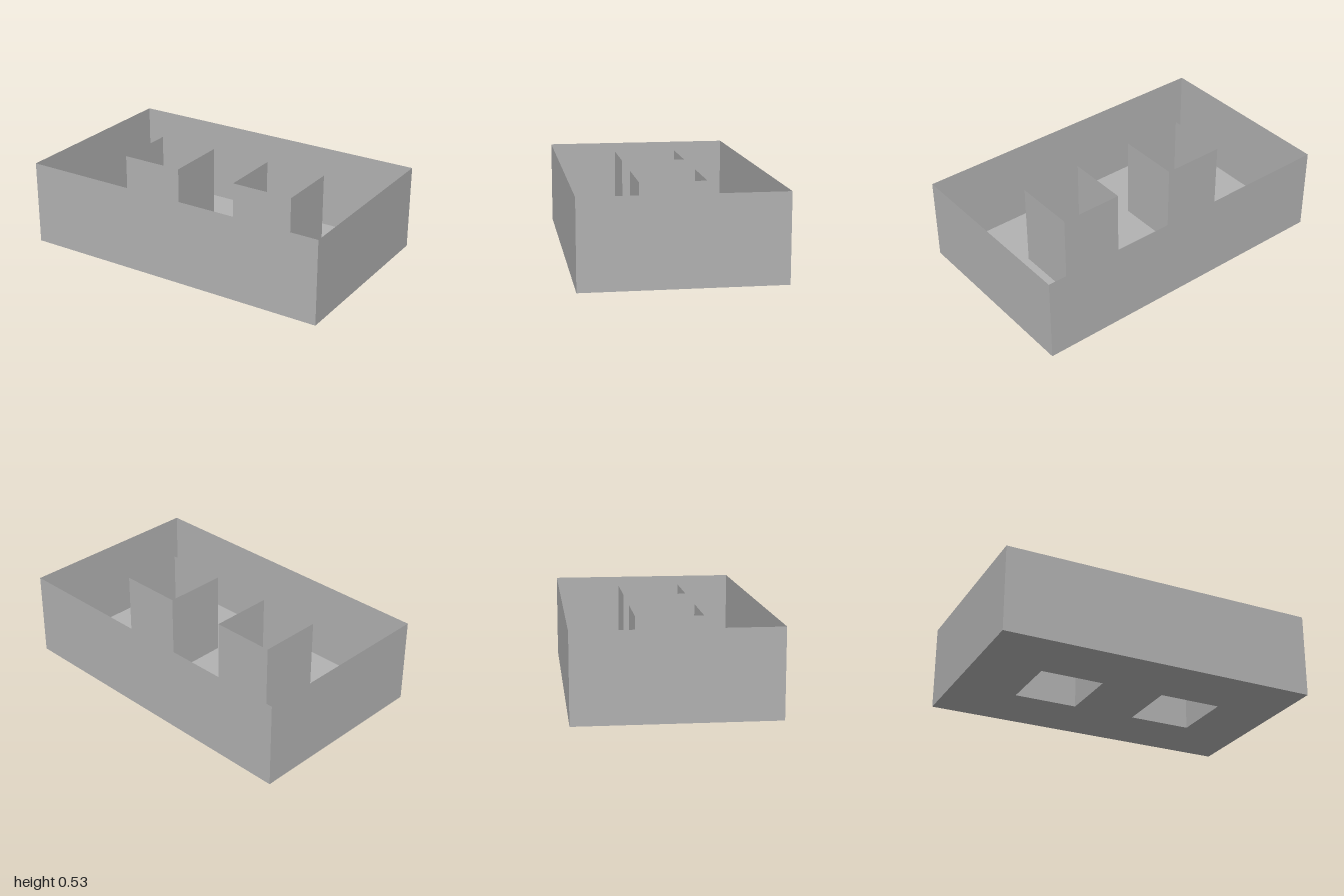
import * as THREE from 'three';

const HEIGHT = 0.533;

// Closed rectangular outline centred on (cx, 0)
function rectangle(target, cx, width, depth) {
  const x = width / 2, z = depth / 2;
  target.moveTo(cx - x, -z);
  target.lineTo(cx + x, -z);
  target.lineTo(cx + x, z);
  target.lineTo(cx - x, z);
  target.closePath();
  return target;
}

export function createModel() {
  const model = new THREE.Group();
  model.name = 'openTray';
  const grey = new THREE.MeshStandardMaterial({ color: 0xb2b2b2, side: THREE.DoubleSide });
  grey.name = 'grey';

  // Four thin upright panels around a rectangle, open above and below
  function walls(name, cx, width, depth) {
    const group = new THREE.Group();
    group.name = name;
    for (let i = 0; i < 4; i++) {
      const alongX = i % 2 === 0;
      const panel = new THREE.Mesh(new THREE.PlaneGeometry(alongX ? width : depth, HEIGHT), grey);
      const angle = i * Math.PI / 2;
      panel.name = name + 'Panel';
      panel.rotation.y = angle;
      panel.position.set(Math.sin(angle) * width / 2, HEIGHT / 2, Math.cos(angle) * depth / 2);
      group.add(panel);
    }
    group.position.x = cx;
    model.add(group);
  }

  // Floor pierced by two square openings
  const outline = rectangle(new THREE.Shape(), 0, 2, 1.2);
  for (const x of [-0.4, 0.4]) outline.holes.push(rectangle(new THREE.Path(), x, 0.4, 0.4));
  const floor = new THREE.Mesh(new THREE.ShapeGeometry(outline).rotateX(Math.PI / 2), grey);
  floor.name = 'floor';
  model.add(floor);

  // Outer wall and the square shafts rising from the openings
  walls('outerWall', 0, 2, 1.2);
  walls('rightShaft', -0.4, 0.4, 0.4);
  walls('leftShaft', 0.4, 0.4, 0.4);

  return model;
}
